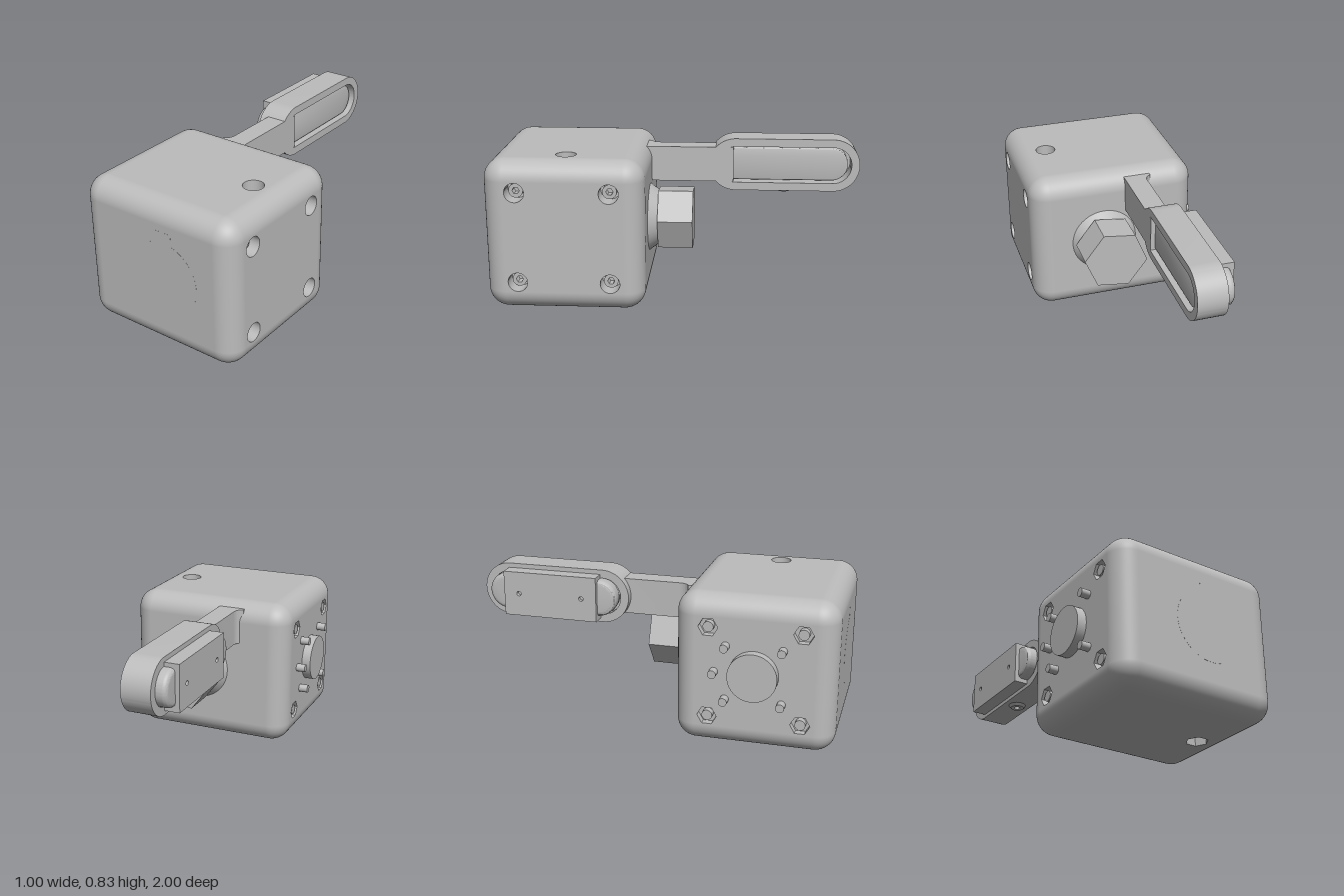
import * as THREE from 'three';
import { toCreasedNormals } from 'three/addons/utils/BufferGeometryUtils.js';
import { RoundedBoxGeometry } from 'three/addons/geometries/RoundedBoxGeometry.js';

const HALF = Math.PI / 2;

// closed regular polygon, used for round and hexagonal outlines
function polygon(cx, cy, r, sides, Type = THREE.Path) {
  const pts = [];
  for (let i = 0; i < sides; i++) {
    const a = (i / sides) * Math.PI * 2;
    pts.push(new THREE.Vector2(cx + r * Math.cos(a), cy + r * Math.sin(a)));
  }
  return new Type(pts);
}

function rectangle(x0, x1, y0, y1) {
  return new THREE.Shape([[x0, y0], [x1, y0], [x1, y1], [x0, y1]].map(p => new THREE.Vector2(...p)));
}

// pill outline between two centres on a horizontal line
function pill(u0, u1, v, r, Type = THREE.Shape) {
  const s = new Type();
  s.moveTo(u0, v - r);
  s.lineTo(u1, v - r);
  s.absarc(u1, v, r, -HALF, HALF, false);
  s.lineTo(u0, v + r);
  s.absarc(u0, v, r, HALF, 3 * HALF, false);
  return s;
}

function extrude(shape, depth, bevel = 0) {
  const g = new THREE.ExtrudeGeometry(shape, {
    depth: depth - 2 * bevel, curveSegments: 24, bevelEnabled: bevel > 0,
    bevelThickness: bevel, bevelSize: bevel, bevelOffset: -bevel, bevelSegments: 6,
  });
  return toCreasedNormals(g.translate(0, 0, bevel), 0.6);
}

// extrude a (-z, y) outline along x
const extrudeX = (shape, x0, x1, bevel) => extrude(shape, x1 - x0, bevel).rotateY(HALF).translate(x0, 0, 0);

export function createModel() {
  const root = new THREE.Group();
  const grey = new THREE.MeshStandardMaterial({ color: 0xbcbcbc, side: THREE.DoubleSide });
  grey.name = 'grey';
  const add = (name, geometry, parent = root) => {
    const m = new THREE.Mesh(geometry, grey);
    m.name = name;
    parent.add(m);
    return m;
  };

  // --- housing: rounded box whose side, top and bottom panels are drilled
  const X0 = -0.45, X1 = 0.495, H = 0.82, Z0 = 0.155, Z1 = 1, R = 0.11;
  const midX = (X0 + X1) / 2, midZ = (Z0 + Z1) / 2;
  const housing = new THREE.Group();
  housing.name = 'housing';
  root.add(housing);

  const box = new RoundedBoxGeometry(X1 - X0, H, Z1 - Z0, 8, R);
  const pos = box.attributes.position, nor = box.attributes.normal;
  const keptP = [], keptN = [];
  for (let i = 0; i < pos.count; i += 3) {
    const flat = c => [0, 1, 2].every(k => Math.abs(nor.getComponent(i + k, c)) > 0.9999);
    if (flat(0) || flat(1)) continue;
    for (let k = 0; k < 3; k++) {
      for (let c = 0; c < 3; c++) {
        keptP.push(pos.getComponent(i + k, c));
        keptN.push(nor.getComponent(i + k, c));
      }
    }
  }
  const shell = new THREE.BufferGeometry();
  shell.setAttribute('position', new THREE.Float32BufferAttribute(keptP, 3));
  shell.setAttribute('normal', new THREE.Float32BufferAttribute(keptN, 3));
  add('housingShell', shell.translate(midX, H / 2, midZ), housing);

  const bolts = [];
  for (const y of [0.165, 0.655]) for (const z of [0.335, 0.825]) bolts.push({ y, z });
  const holeX = 0.315, holeZ = 0.577;

  const leftPanel = rectangle(-Z1 + R, -Z0 - R, R, H - R);
  const rightPanel = rectangle(Z0 + R, Z1 - R, R, H - R);
  for (const { y, z } of bolts) {
    leftPanel.holes.push(polygon(-z, y, 0.052, 32));
    rightPanel.holes.push(polygon(z, y, 0.052, 6));
  }
  const topPanel = rectangle(X0 + R, X1 - R, -Z1 + R, -Z0 - R);
  topPanel.holes.push(polygon(holeX, -holeZ, 0.055, 32));
  const bottomPanel = rectangle(X0 + R, X1 - R, Z0 + R, Z1 - R);
  bottomPanel.holes.push(polygon(holeX, holeZ, 0.06, 6));
  add('leftPanel', new THREE.ShapeGeometry(leftPanel).rotateY(HALF).translate(X1, 0, 0), housing);
  add('rightPanel', new THREE.ShapeGeometry(rightPanel).rotateY(-HALF).translate(X0, 0, 0), housing);
  add('topPanel', new THREE.ShapeGeometry(topPanel).rotateX(-HALF).translate(0, H, 0), housing);
  add('bottomPanel', new THREE.ShapeGeometry(bottomPanel).rotateX(HALF), housing);

  // recess sunk along local -z from its mouth, with a ring floor
  function recess(name, r, sides, depth, inner) {
    const g = new THREE.Group();
    g.name = name;
    const wall = new THREE.CylinderGeometry(r, r, depth, sides, 1, true).toNonIndexed();
    if (sides < 10) wall.computeVertexNormals();
    add('recessWall', wall.rotateX(HALF).rotateZ(HALF).translate(0, 0, -depth / 2), g);
    const floor = polygon(0, 0, r, sides, THREE.Shape);
    if (inner) floor.holes.push(polygon(0, 0, inner, 32));
    add('recessFloor', new THREE.ShapeGeometry(floor).translate(0, 0, -depth), g);
    root.add(g);
    return g;
  }

  // --- clamping bolts: socket head on the left, nut end on the right
  for (const { y, z } of bolts) {
    const head = recess('boltSocket', 0.052, 32, 0.1, 0);
    head.position.set(X1, y, z);
    head.rotation.y = HALF;
    const cap = polygon(0, 0, 0.038, 32, THREE.Shape);
    cap.holes.push(polygon(0, 0, 0.019, 6));
    add('boltHead', extrude(cap, 0.05).translate(0, 0, -0.1), head);

    const nut = recess('nutPocket', 0.052, 6, 0.04, 0);
    nut.position.set(X0, y, z);
    nut.rotation.y = -HALF;
    add('boltEnd', extrude(polygon(0, 0, 0.028, 24, THREE.Shape), 0.035).translate(0, 0, -0.04), nut);
  }

  // --- vertical through hole with counterbore and hexagonal pocket
  const topBore = recess('topCounterbore', 0.055, 32, 0.1, 0.035);
  topBore.position.set(holeX, H, holeZ);
  topBore.rotation.x = -HALF;
  const hexBore = recess('bottomHexPocket', 0.06, 6, 0.06, 0.035);
  hexBore.position.set(holeX, 0, holeZ);
  hexBore.rotation.x = HALF;
  add('throughHole', new THREE.CylinderGeometry(0.035, 0.035, H - 0.16, 32, 1, true)
    .translate(holeX, 0.06 + (H - 0.16) / 2, holeZ));

  // --- round button and locating pins on the right side
  const disc = (name, r, y, z) => add(name,
    new THREE.CylinderGeometry(r, r, 0.07, 40).rotateZ(HALF).translate(-0.465, y, z));
  disc('sideButton', 0.13, 0.417, 0.577);
  for (const [y, z] of [[0.562, 0.428], [0.562, 0.725], [0.27, 0.428], [0.27, 0.725], [0.417, 0.368]]) {
    disc('locatingPin', 0.0225, y, z);
  }

  // --- keyed shaft end, almost flush with the front
  const axisX = 0.085, axisY = 0.417;
  const keyed = new THREE.Shape();
  const keyAngle = Math.acos(0.05 / 0.2);
  keyed.absarc(axisX, axisY, 0.2, Math.PI - keyAngle, keyAngle + Math.PI * 2, false);
  keyed.lineTo(0.135, 0.665);
  keyed.lineTo(0.125, 0.675);
  keyed.lineTo(0.045, 0.675);
  keyed.lineTo(0.035, 0.665);
  add('shaftEnd', extrude(keyed, 0.005).translate(0, 0, Z1 - 0.0045));

  // --- tapered collar and hexagonal shaft at the back
  add('shaftCollar', new THREE.CylinderGeometry(0.19, 0.145, 0.06, 48)
    .rotateX(HALF).translate(axisX, axisY, 0.13));
  add('hexShaft', extrude(polygon(0, 0, 0.181, 6, THREE.Shape), 0.19)
    .rotateZ(0.127).translate(axisX, axisY, -0.085));

  // --- arm with a small fillet where it joins the housing
  const armY = 0.688;
  const neck = new THREE.Shape();
  neck.moveTo(-0.04, -0.27);
  neck.lineTo(-0.04, 0.3);
  neck.lineTo(-0.155, 0.3);
  neck.lineTo(-0.155, -0.11);
  neck.quadraticCurveTo(-0.157, -0.155, -0.19, -0.165);
  neck.lineTo(-0.19, -0.27);
  add('armNeck', extrude(neck, 0.195).rotateX(-HALF).translate(0, 0.59, 0));

  // --- pill-shaped arm head with a framed insert
  const head = pill(0.312, 0.853, armY, 0.147);
  head.holes.push(pill(0.312, 0.853, armY, 0.102, THREE.Path));
  add('armHead', extrudeX(head, -0.2, -0.04));
  add('insertFloor', extrudeX(pill(0.312, 0.853, armY, 0.104), -0.16, -0.14));
  add('armInsert', extrudeX(pill(0.318, 0.845, armY, 0.092), -0.255, -0.065, 0.006));
  add('insertCap', extrudeX(pill(0.322, 0.853, armY, 0.1), -0.257, -0.165, 0.025));

  // --- cover plate with two screw holes
  const cover = rectangle(0.325, 0.855, 0.563, 0.81);
  for (const u of [0.41, 0.77]) cover.holes.push(polygon(u, armY, 0.013, 20));
  add('coverPlate', extrudeX(cover, -0.28, -0.195));

  // --- drilled boss under the arm head
  const boss = [[0.018, 0.03], [0.018, 0], [0.038, 0], [0.053, 0.02]].map(p => new THREE.Vector2(...p));
  add('bossUnderArm', toCreasedNormals(new THREE.LatheGeometry(boss, 32), 0.5).translate(-0.12, 0.525, -0.583));

  return root;
}
